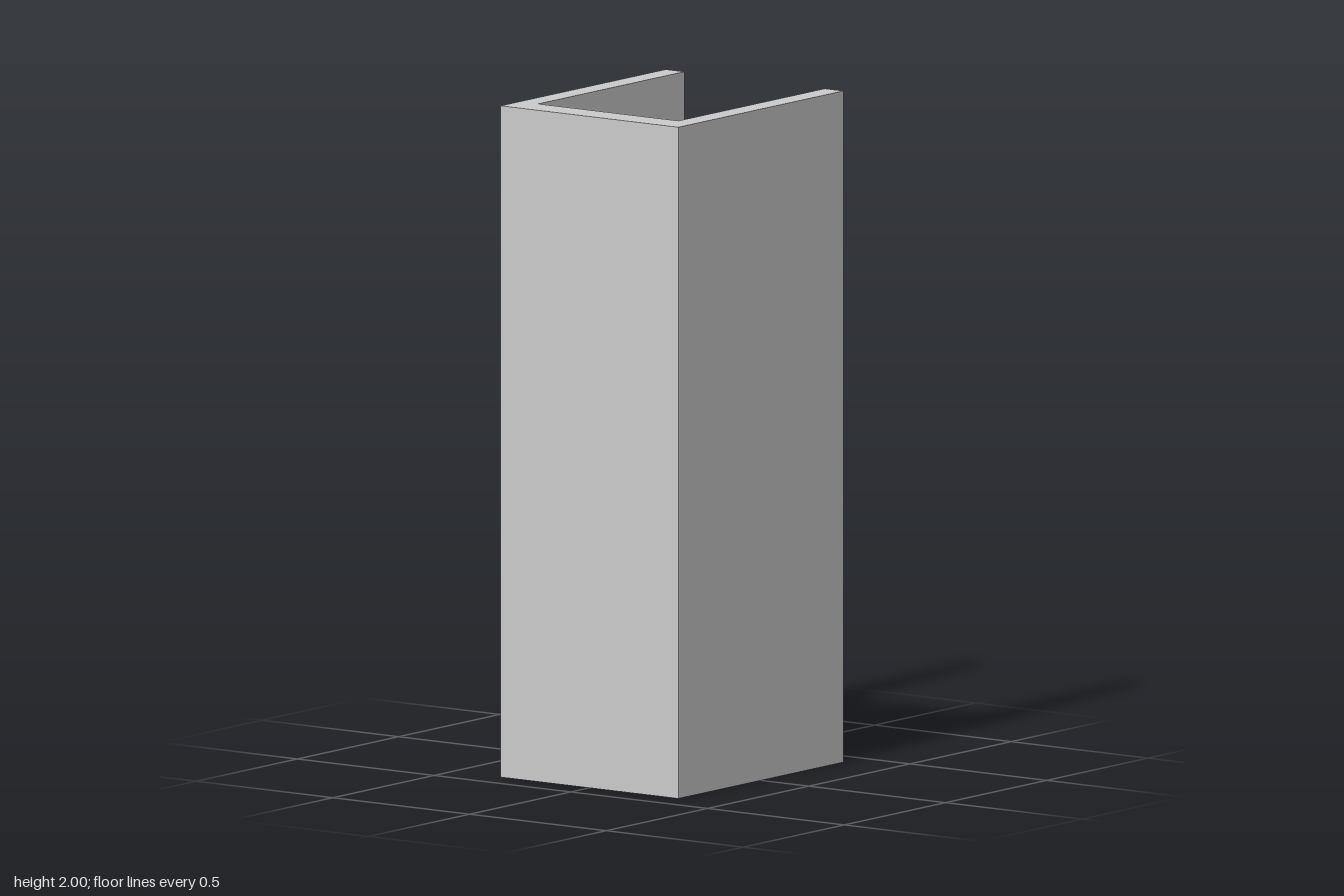
import * as THREE from 'three';

const HEIGHT = 2;
const HALF_WIDTH = 0.325;
const HALF_DEPTH = 0.408;
const INNER_HALF_WIDTH = 0.257;
const WEB_INNER_Z = 0.315;

export function createModel() {
  const group = new THREE.Group();
  group.name = 'channel';

  // U-shaped plan, open to the back; shape y is -z
  const plan = new THREE.Shape([
    [-HALF_WIDTH, -HALF_DEPTH],
    [HALF_WIDTH, -HALF_DEPTH],
    [HALF_WIDTH, HALF_DEPTH],
    [INNER_HALF_WIDTH, HALF_DEPTH],
    [INNER_HALF_WIDTH, -WEB_INNER_Z],
    [-INNER_HALF_WIDTH, -WEB_INNER_Z],
    [-INNER_HALF_WIDTH, HALF_DEPTH],
    [-HALF_WIDTH, HALF_DEPTH],
  ].map(([x, y]) => new THREE.Vector2(x, y)));

  // Extrude, then stand the channel upright on the ground
  const geometry = new THREE.ExtrudeGeometry(plan, { depth: HEIGHT, bevelEnabled: false });
  geometry.rotateX(-Math.PI / 2);

  const channel = new THREE.Mesh(geometry, new THREE.MeshStandardMaterial({ color: 0xcccccc }));
  channel.name = 'channelWalls';
  group.add(channel);
  return group;
}
